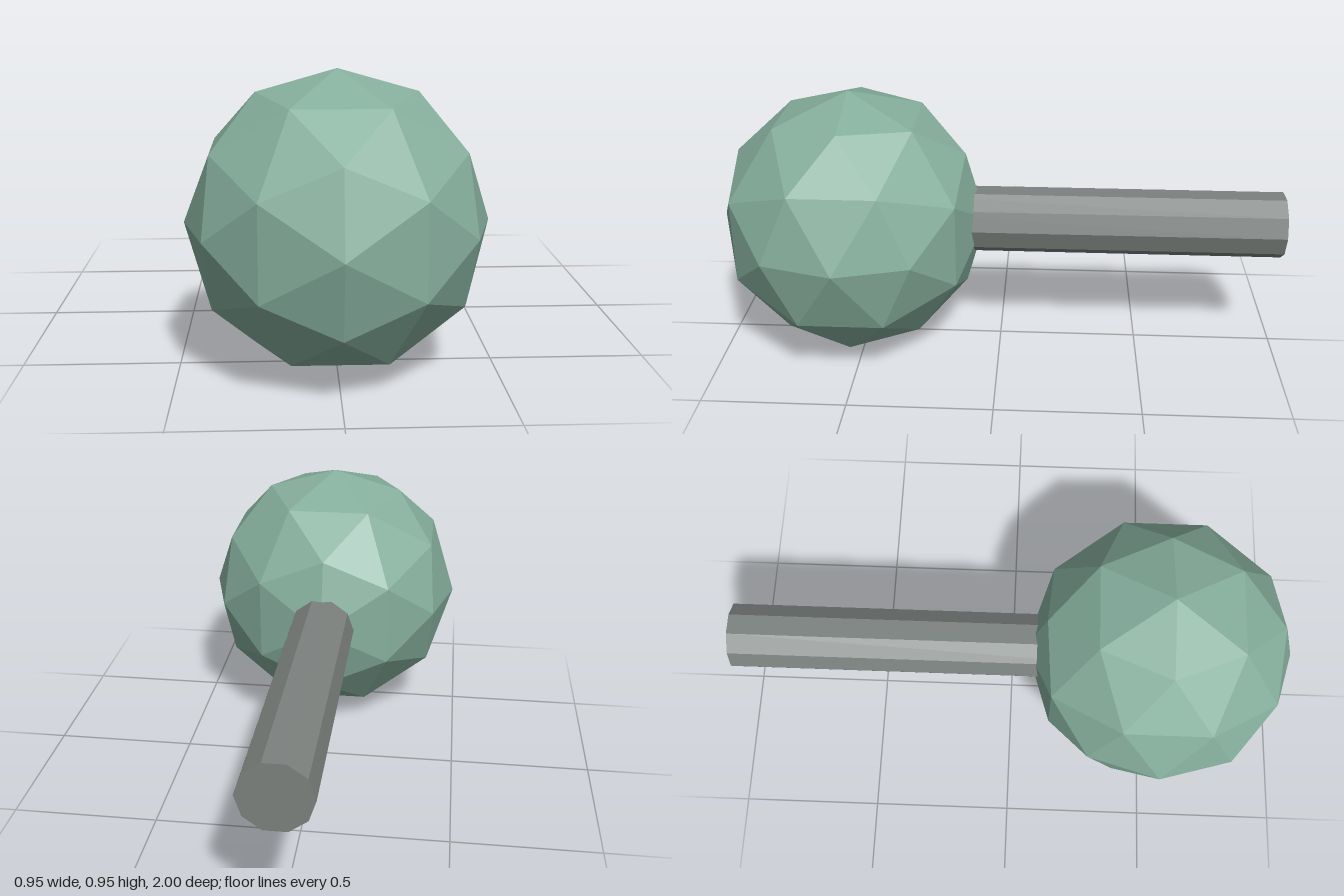
import * as THREE from 'three';

export function createModel() {
  const model = new THREE.Group();
  const green = new THREE.MeshStandardMaterial({ color: 0x86af9d, flatShading: true });
  green.name = 'sage green';
  const grey = new THREE.MeshStandardMaterial({ color: 0x7c827f, flatShading: true });
  grey.name = 'warm grey';

  const radius = 0.474, centerY = 0.476, centerZ = 1 - radius;

  // Faceted ball at the front
  const head = new THREE.Mesh(new THREE.IcosahedronGeometry(radius, 1), green);
  head.name = 'head';
  head.position.set(0, centerY, centerZ);
  model.add(head);

  // Ten-sided rod running from inside the ball to the back
  const length = 1 + centerZ;
  const rod = new THREE.CylinderGeometry(0.117, 0.117, length, 10, 1, false, Math.PI / 2);
  rod.rotateX(Math.PI / 2);
  const handle = new THREE.Mesh(rod, grey);
  handle.name = 'handle';
  handle.position.set(0, centerY, -1 + length / 2);
  model.add(handle);

  return model;
}
